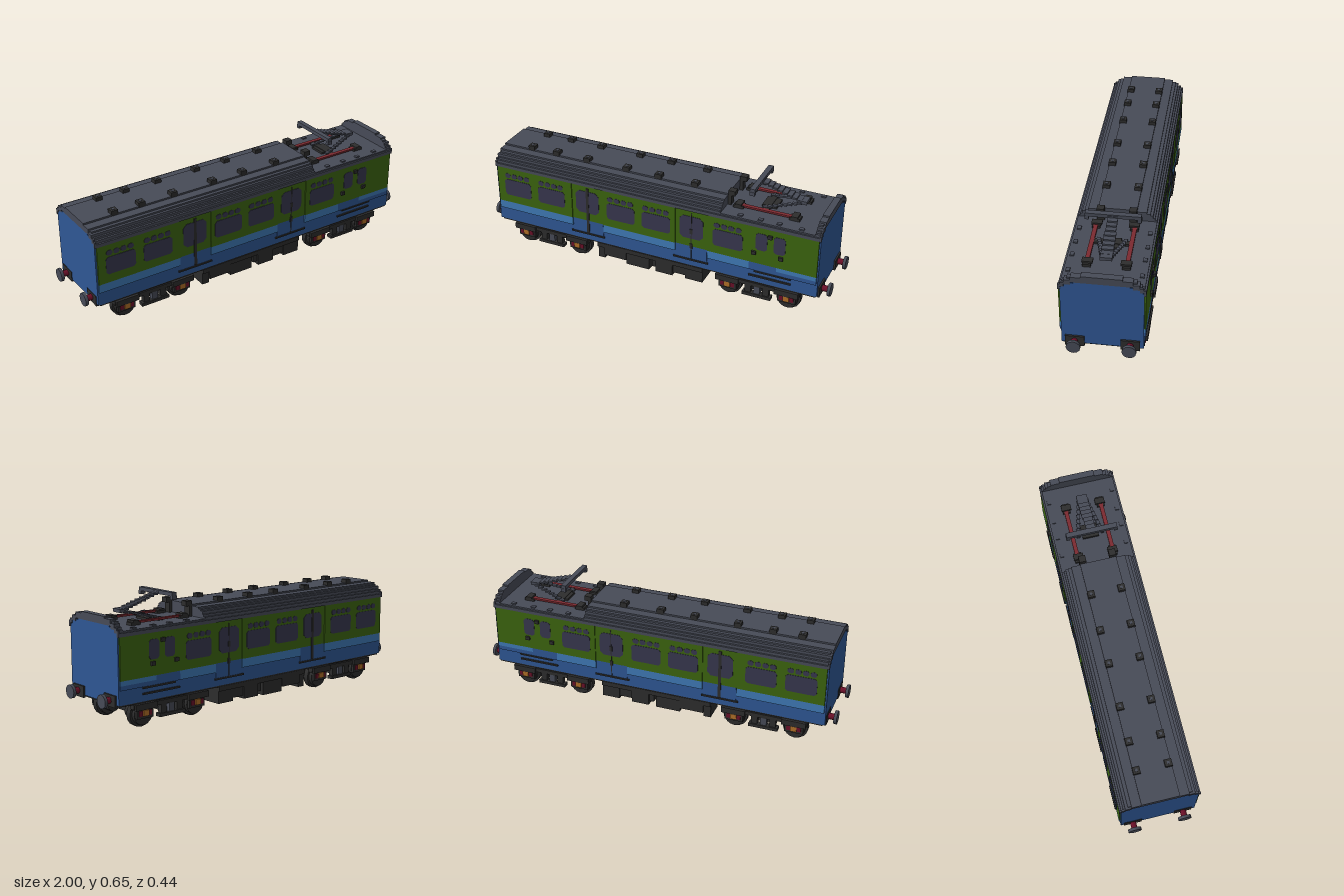
import * as THREE from 'three';

const mat = (name, color) => {
  const m = new THREE.MeshStandardMaterial({ color });
  m.name = name;
  return m;
};

export function createModel() {
  const root = new THREE.Group();
  root.name = 'railcar';
  const blue = mat('blue', 0x2f5795), light = mat('lightBlue', 0x3f7ab6), green = mat('green', 0x3c650f);
  const grey = mat('roofGrey', 0x474b57), dark = mat('black', 0x2d2d2d), glass = mat('glass', 0x38374f);
  const red = mat('red', 0x7c2a30), crimson = mat('crimson', 0x6a1028), orange = mat('orange', 0xb06f28);

  const group = (name) => {
    const g = new THREE.Group();
    g.name = name;
    root.add(g);
    return g;
  };
  const add = (parent, name, geo, m, x, y, z) => {
    const mesh = new THREE.Mesh(geo, m);
    mesh.name = name;
    mesh.position.set(x, y, z);
    parent.add(mesh);
    return mesh;
  };
  // box given by its limits
  const box = (parent, name, m, x0, x1, y0, y1, z0, z1) =>
    add(parent, name, new THREE.BoxGeometry(x1 - x0, y1 - y0, z1 - z0), m, (x0 + x1) / 2, (y0 + y1) / 2, (z0 + z1) / 2);
  // the same box on both sides of the centre line
  const pair = (parent, name, m, x0, x1, y0, y1, z0, z1) => {
    box(parent, name, m, x0, x1, y0, y1, z0, z1);
    box(parent, name, m, x0, x1, y0, y1, -z1, -z0);
  };
  // thin plate with stepped corners on both sides
  const pane = (parent, name, m, x0, x1, y0, y1, z, c = 0.012) => {
    const s = new THREE.Shape();
    [[x0 + c, y0], [x1 - c, y0], [x1 - c / 2, y0 + c / 2], [x1, y0 + c], [x1, y1 - c], [x1 - c / 2, y1 - c / 2], [x1 - c, y1],
      [x0 + c, y1], [x0 + c / 2, y1 - c / 2], [x0, y1 - c], [x0, y0 + c], [x0 + c / 2, y0 + c / 2]]
      .forEach(([x, y], i) => (i ? s.lineTo(x, y) : s.moveTo(x, y)));
    const geo = new THREE.ExtrudeGeometry(s, { depth: 0.004, bevelEnabled: false });
    add(parent, name, geo, m, 0, 0, z - 0.002);
    add(parent, name, geo, m, 0, 0, -z - 0.002);
  };
  // stepped cross-section run along x; steps are [half width, top of step]
  const stepped = (parent, name, m, steps, y0, x0, x1) => {
    const right = [];
    let y = y0;
    for (const [w, top] of steps) {
      right.push([w, y], [w, top]);
      y = top;
    }
    const s = new THREE.Shape();
    [...right, ...right.slice().reverse().map(([w, h]) => [-w, h])]
      .forEach(([w, h], i) => (i ? s.lineTo(w, h) : s.moveTo(w, h)));
    const geo = new THREE.ExtrudeGeometry(s, { depth: x1 - x0, bevelEnabled: false });
    geo.rotateY(Math.PI / 2);
    return add(parent, name, geo, m, x0, 0, 0);
  };

  // body shell and ends
  const body = group('body');
  box(body, 'shell', blue, -0.935, 0.935, 0.14, 0.485, -0.203, 0.203);
  const endSteps = [[0.203, 0.49], [0.195, 0.503], [0.185, 0.512], [0.165, 0.52], [0.135, 0.527]];
  stepped(body, 'endPanel', blue, endSteps, 0.14, -0.948, -0.93);
  stepped(body, 'endPanel', blue, endSteps, 0.14, 0.93, 0.942);
  box(body, 'floor', dark, -0.935, 0.935, 0.132, 0.14, -0.2, 0.2);

  // painted sides, broken by the doors
  const doors = [[-0.47, -0.28], [0.15, 0.335]];
  for (const [a, b] of [[-0.94, -0.47], [-0.28, 0.15], [0.335, 0.935]]) {
    pair(body, 'greenSide', green, a, b, 0.262, 0.48, 0.203, 0.211);
    const cab = a > 0.3;
    pair(body, 'lightBand', light, a, cab ? 0.57 : b, 0.215, 0.262, 0.203, 0.211);
    if (cab) {
      pair(body, 'blueBand', blue, 0.57, b, 0.215, 0.238, 0.203, 0.211);
      pair(body, 'blueSweep', blue, 0.57, 0.72, 0.238, 0.262, 0.203, 0.211);
      pair(body, 'lightSweep', light, 0.72, b, 0.238, 0.262, 0.203, 0.211);
    }
  }
  doors.forEach(([a, b], i) => {
    const mid = (a + b) / 2;
    pair(body, 'doorGreen', green, a, b, 0.262, 0.48, 0.203, 0.206);
    pair(body, 'doorBlue', blue, a + 0.003, b - 0.003, 0.18, 0.262, 0.203, 0.206);
    pane(body, 'doorWindow', glass, a + 0.024, b - 0.026, 0.31, 0.445, 0.206, 0.02);
    const w = i ? 0.002 : 0.008;
    pair(body, 'doorSeam', dark, mid - w, mid + w, 0.185, 0.465, 0.203, 0.2095);
    if (i) for (const y of [0.265, 0.355]) pair(body, 'doorHandle', dark, mid - 0.008, mid + 0.008, y - 0.014, y + 0.014, 0.206, 0.211);
    pair(body, 'doorStep', dark, a - 0.01, b + 0.005, 0.174, 0.183, 0.203, 0.211);
  });

  // windows with a row of small vent panes above
  for (const x of [-0.895, -0.682, -0.255, -0.045, 0.365]) {
    pane(body, 'window', glass, x, x + 0.167, 0.31, 0.408, 0.211);
    for (let i = 0; i < 4; i++) pane(body, 'ventPane', glass, x + 0.005 + i * 0.04, x + 0.038 + i * 0.04, 0.418, 0.446, 0.211, 0.008);
  }
  for (const x of [0.602, 0.7]) pane(body, 'cabWindow', glass, x, x + 0.063, 0.345, 0.445, 0.211);
  for (const [x, y] of [[0.595, 0.325], [0.742, 0.325], [0.68, 0.437]])
    pair(body, 'cabHandle', dark, x - 0.012, x + 0.012, y - 0.01, y + 0.01, 0.209, 0.222);
  pair(body, 'cabStep', dark, 0.57, 0.8, 0.174, 0.183, 0.203, 0.211);
  pair(body, 'cabStep', dark, 0.6, 0.8, 0.205, 0.214, 0.203, 0.213);

  // roof with a sunken deck at one end
  const roof = group('roof');
  const roofSteps = [[0.212, 0.497], [0.203, 0.513], [0.192, 0.525], [0.182, 0.54], [0.168, 0.549], [0.15, 0.558], [0.1, 0.567]];
  stepped(roof, 'mainRoof', grey, roofSteps, 0.478, -0.94, 0.4);
  stepped(roof, 'roofDeck', grey, [[0.212, 0.497], [0.203, 0.505]], 0.478, 0.4, 0.91);
  stepped(roof, 'roofCap', grey, roofSteps, 0.478, 0.91, 0.935);
  // overhanging rims outline each end panel
  for (const [a, b] of [[-0.95, -0.94], [0.935, 0.945]]) {
    box(roof, 'rimTop', grey, a, b, 0.527, 0.558, -0.15, 0.15);
    box(roof, 'rimCrown', grey, a, b, 0.558, 0.567, -0.1, 0.1);
    pair(roof, 'rimShoulder', grey, a, b, 0.512, 0.54, 0.15, 0.182);
    pair(roof, 'rimCorner', grey, a, b, 0.497, 0.522, 0.182, 0.2);
    pair(roof, 'rimEave', grey, a, b, 0.478, 0.51, 0.2, 0.212);
  }
  for (const x of [-0.775, -0.62, -0.43, -0.19, 0, 0.21]) {
    pair(roof, 'roofVent', dark, x - 0.019, x + 0.019, 0.56, 0.587, 0.064, 0.102);
    pair(roof, 'ventTop', grey, x - 0.007, x + 0.007, 0.587, 0.589, 0.076, 0.09);
  }
  pair(roof, 'edgeVent', dark, 0.402, 0.44, 0.56, 0.587, 0.064, 0.102);
  pair(roof, 'edgeVentLeg', dark, 0.402, 0.42, 0.5, 0.56, 0.064, 0.102);
  for (const x of [0.49, 0.6, 0.7, 0.82]) pair(roof, 'deckBracket', grey, x, x + 0.025, 0.5, 0.512, 0.17, 0.19);

  // current collector
  const collector = group('currentCollector');
  pair(collector, 'baseRail', red, 0.46, 0.78, 0.512, 0.522, 0.088, 0.11);
  for (const x of [0.465, 0.77]) {
    pair(collector, 'insulator', dark, x - 0.028, x + 0.028, 0.505, 0.52, 0.076, 0.118);
    pair(collector, 'insulatorCap', dark, x - 0.017, x + 0.017, 0.52, 0.53, 0.068, 0.122);
  }
  box(collector, 'crossBar', dark, 0.59, 0.62, 0.508, 0.52, -0.1, 0.1);
  box(collector, 'baseBox', dark, 0.57, 0.65, 0.505, 0.517, -0.045, 0.045);
  const n = 9;
  for (let i = 0; i < n; i++) {
    const x = 0.58 + i * 0.0245, y = 0.513 + i * 0.006, z = 0.07 - i * 0.006;
    pair(collector, 'lowerArm', grey, x, x + 0.026, y, y + 0.009, z - 0.012, z + 0.006);
  }
  box(collector, 'knee', grey, 0.775, 0.803, 0.558, 0.576, -0.03, 0.03);
  for (let i = 0; i < n; i++) {
    const x = 0.775 - i * 0.0265, y = 0.568 + i * 0.008, w = i < 5 ? 0.03 : 0.026;
    box(collector, 'upperArm', grey, x - 0.0275, x, y, y + 0.009, -w, w);
  }
  box(collector, 'contactHead', grey, 0.532, 0.56, 0.628, 0.648, -0.14, 0.14);
  pair(collector, 'headHorn', grey, 0.532, 0.56, 0.61, 0.63, 0.122, 0.142);

  // buffers at both ends
  const buffers = group('buffers');
  for (const e of [-1, 1]) for (const z of [-0.137, 0.137]) {
    const disc = (name, m, r, len, x, seg) => {
      const geo = new THREE.CylinderGeometry(r, r, len, seg);
      geo.rotateX(Math.PI / 2).rotateY(Math.PI / 2);
      if (seg === 8) geo.rotateX(Math.PI / 8);
      add(buffers, name, geo.toNonIndexed(), m, e * x, 0.16, z);
    };
    disc('bufferHead', grey, 0.036, 0.016, 0.992, 12);
    disc('bufferShaft', crimson, 0.017, 0.06, 0.957, 8);
    const x = e * 0.945;
    box(buffers, 'bufferBase', dark, x - 0.006, x + 0.006, 0.128, 0.188, z - 0.048, z + 0.048);
  }

  // bogies
  for (const cx of [-0.62, 0.615]) {
    const bogie = group('bogie');
    for (const x of [cx - 0.165, cx + 0.165]) {
      const wheel = (name, r, z0, z1) => {
        const geo = new THREE.CylinderGeometry(r, r, z1 - z0, 16);
        geo.rotateX(Math.PI / 2);
        for (const s of [-1, 1]) add(bogie, name, geo, dark, x, 0.068, s * (z0 + z1) / 2);
      };
      wheel('wheelFlange', 0.068, 0.13, 0.16);
      wheel('wheelTread', 0.056, 0.115, 0.18);
      wheel('wheelHub', 0.036, 0.07, 0.115);
      box(bogie, 'axle', dark, x - 0.018, x + 0.018, 0.062, 0.11, -0.14, 0.14);
      pair(bogie, 'axleGuard', dark, x - 0.065, x + 0.065, 0.098, 0.13, 0.17, 0.212);
      pair(bogie, 'axleHousing', dark, x - 0.05, x + 0.05, 0.05, 0.1, 0.165, 0.195);
      pair(bogie, 'axleBox', orange, x - 0.017, x + 0.017, 0.064, 0.094, 0.19, 0.207);
      for (const s of [-0.028, 0.028])
        pair(bogie, 'axleSpring', crimson, x + s - 0.011, x + s + 0.011, 0.064, 0.09, 0.17, 0.2);
    }
    pair(bogie, 'sideFrame', dark, cx - 0.235, cx + 0.235, 0.104, 0.126, 0.17, 0.2);
    pair(bogie, 'lowerBeam', dark, cx - 0.08, cx + 0.08, 0.042, 0.06, 0.17, 0.205);
    for (const s of [-0.05, 0, 0.05])
      pair(bogie, 'bolsterSpring', s ? dark : grey, cx + s - 0.017, cx + s + 0.017, 0.058, 0.106, 0.172, 0.198);
    box(bogie, 'bolster', dark, cx - 0.05, cx + 0.05, 0.065, 0.108, -0.17, 0.17);
    pair(bogie, 'mount', dark, cx - 0.22, cx + 0.22, 0.112, 0.135, 0.085, 0.19);
  }

  // equipment boxes under the floor
  const under = group('underfloorEquipment');
  for (const [a, b, y, z] of [[-0.325, -0.285, 0.035, 0.19], [-0.285, -0.15, 0.06, 0.2], [-0.15, -0.012, 0.035, 0.195],
    [0.003, 0.03, 0.06, 0.19], [0.03, 0.13, 0.04, 0.2], [0.13, 0.205, 0.055, 0.19], [0.205, 0.305, 0.04, 0.195]])
    pair(under, 'equipmentBox', dark, a, b, y, 0.134, 0.075, z);
  pair(under, 'equipmentRail', dark, -0.325, 0.305, 0.108, 0.134, 0.075, 0.203);
  for (const x of [-0.22, -0.07, 0.08, 0.25]) box(under, 'crossMember', dark, x - 0.02, x + 0.02, 0.065, 0.108, -0.08, 0.08);

  return root;
}
